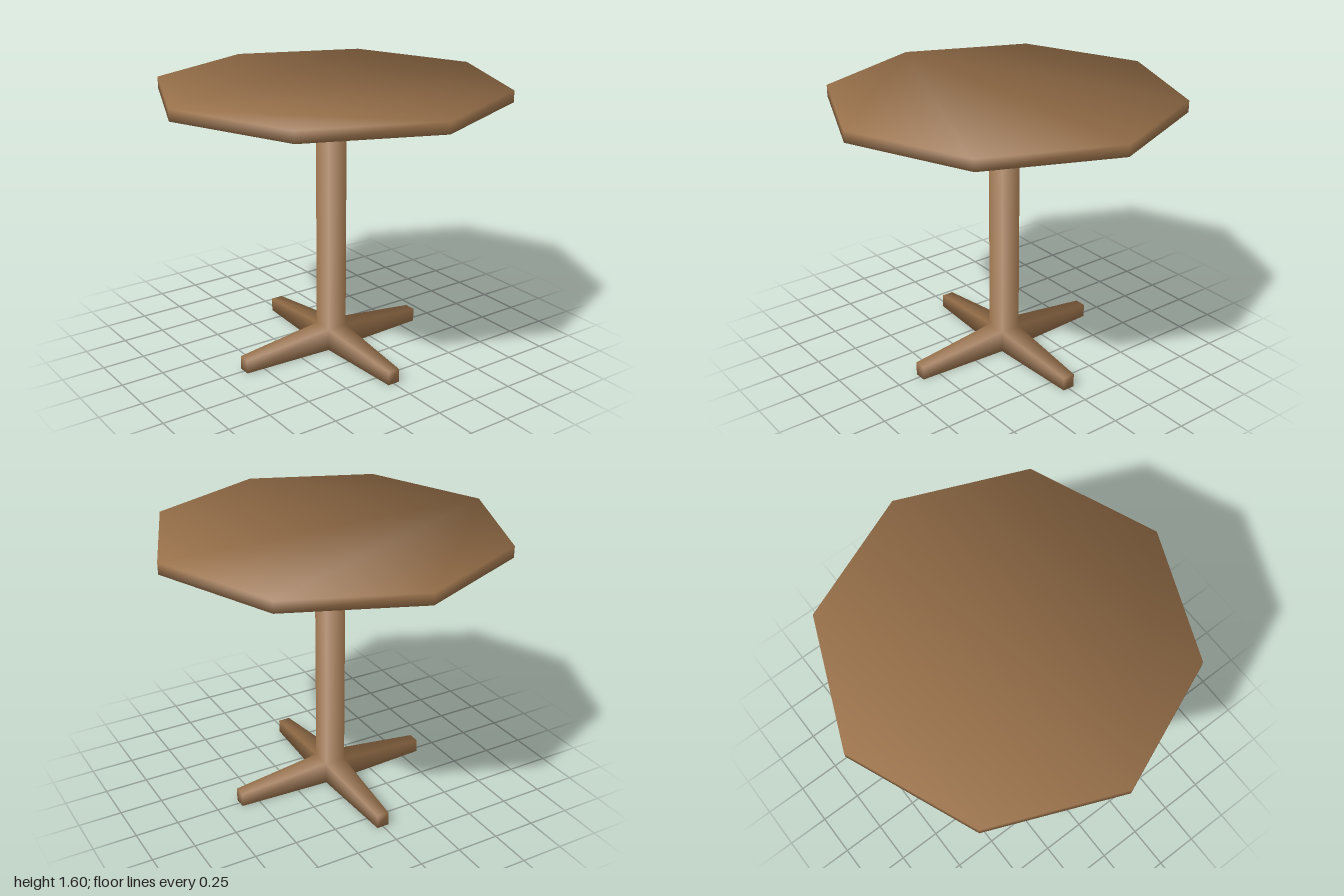
import * as THREE from 'three';
import { mergeVertices } from 'three/addons/utils/BufferGeometryUtils.js';

// Builds a welded geometry from convex faces, with smooth normals weighted by corner angle
function smoothSolid(faces) {
  const positions = [];
  for (const f of faces) {
    for (let i = 1; i < f.length - 1; i++) positions.push(...f[0], ...f[i], ...f[i + 1]);
  }
  let geo = new THREE.BufferGeometry();
  geo.setAttribute('position', new THREE.Float32BufferAttribute(positions, 3));
  geo = mergeVertices(geo);

  const pos = geo.attributes.position;
  const index = geo.index;
  const points = [];
  const normals = [];
  for (let i = 0; i < pos.count; i++) {
    points.push(new THREE.Vector3().fromBufferAttribute(pos, i));
    normals.push(new THREE.Vector3());
  }
  for (let i = 0; i < index.count; i += 3) {
    const tri = [0, 1, 2].map((k) => index.getX(i + k));
    for (let k = 0; k < 3; k++) {
      const p = points[tri[k]];
      const u = points[tri[(k + 1) % 3]].clone().sub(p);
      const v = points[tri[(k + 2) % 3]].clone().sub(p);
      const n = u.clone().cross(v).normalize();
      normals[tri[k]].addScaledVector(n, u.angleTo(v));
    }
  }
  const flat = normals.flatMap((n) => n.normalize().toArray());
  geo.setAttribute('normal', new THREE.Float32BufferAttribute(flat, 3));
  return geo;
}

// Octagonal slab with corners on the x and z axes
function tabletopFaces(radius, bottom, top, sides = 8) {
  const ring = (y) => Array.from({ length: sides }, (_, i) => {
    const a = (i / sides) * Math.PI * 2;
    return [Math.sin(a) * radius, y, Math.cos(a) * radius];
  });
  const lo = ring(bottom);
  const hi = ring(top);
  const faces = [hi, [...lo].reverse()];
  for (let i = 0; i < sides; i++) {
    const j = (i + 1) % sides;
    faces.push([lo[i], lo[j], hi[j], hi[i]]);
  }
  return faces;
}

// Square post with four tapering feet, joined in one skin
function pedestalFaces() {
  const b = 0.062, h = 0.133; // half width and height where the feet meet the post
  const t = 0.036, e = 0.08, L = 0.608; // half width, height and reach of the foot tips
  const T = 1.54; // top of the post

  const foot = [
    [[b, h, b], [L, e, t], [L, e, -t], [b, h, -b]], // upper slope
    [[b, 0, -b], [L, 0, -t], [L, 0, t], [b, 0, b]], // underside
    [[b, 0, b], [L, 0, t], [L, e, t], [b, h, b]], // sides
    [[b, h, -b], [L, e, -t], [L, 0, -t], [b, 0, -b]],
    [[L, 0, t], [L, 0, -t], [L, e, -t], [L, e, t]], // tip
  ];
  const postSide = [[b, h, b], [b, h, -b], [b, T, -b], [b, T, b]];

  const faces = [
    [[-b, 0, -b], [b, 0, -b], [b, 0, b], [-b, 0, b]], // hub underside
    [[-b, T, b], [b, T, b], [b, T, -b], [-b, T, -b]], // post cap
  ];
  let quarter = [...foot, postSide];
  for (let k = 0; k < 4; k++) {
    faces.push(...quarter);
    quarter = quarter.map((f) => f.map(([x, y, z]) => [z, y, -x]));
  }
  return faces;
}

export function createModel() {
  const wood = new THREE.MeshStandardMaterial({ color: 0x9a724b });
  wood.name = 'brown wood';

  const table = new THREE.Group();
  table.name = 'table';

  const tabletop = new THREE.Mesh(smoothSolid(tabletopFaces(1, 1.532, 1.597)), wood);
  tabletop.name = 'tabletop';

  const pedestal = new THREE.Mesh(smoothSolid(pedestalFaces()), wood);
  pedestal.name = 'pedestal';

  table.add(tabletop, pedestal);
  return table;
}
